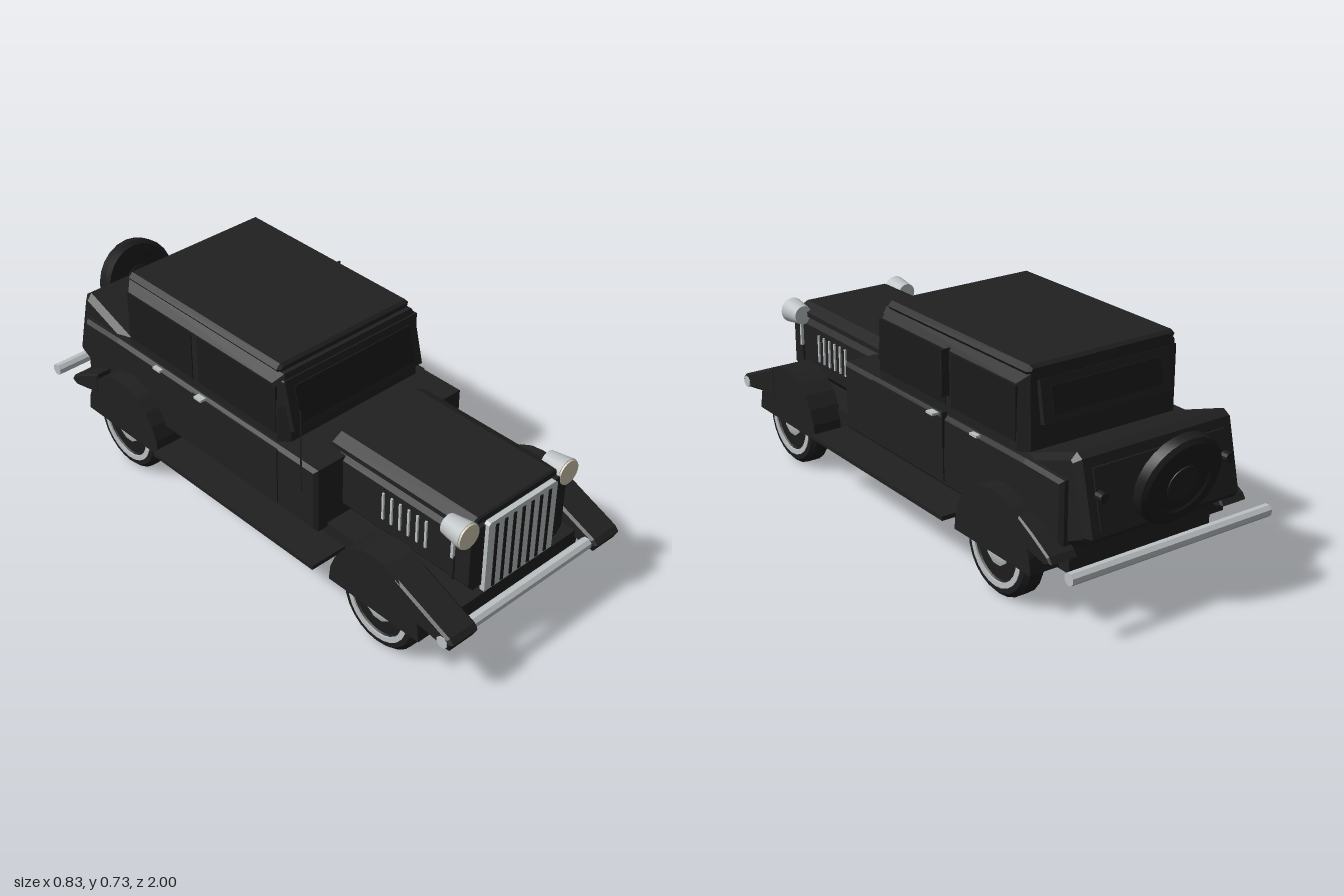
import * as THREE from 'three';
import { toCreasedNormals } from 'three/addons/utils/BufferGeometryUtils.js';

const paint = (name, color) => {
  const m = new THREE.MeshStandardMaterial({ color });
  m.name = name;
  return m;
};

export function createModel() {
  const car = new THREE.Group();
  car.name = 'vintageCar';
  const black = paint('blackPaint', 0x202020);
  const rubber = paint('rubber', 0x1c1c1c);
  const glass = paint('darkGlass', 0x1a1a1a);
  const chrome = paint('chrome', 0xbcc1c3);
  const lens = paint('creamLens', 0xd2c9b0);

  const add = (name, geo, mat, x = 0, y = 0, z = 0, parent = car) => {
    const m = new THREE.Mesh(geo, mat);
    m.name = name;
    m.position.set(x, y, z);
    parent.add(m);
    return m;
  };
  const box = (name, mat, x0, x1, y0, y1, z0, z1) =>
    add(name, new THREE.BoxGeometry(x1 - x0, y1 - y0, z1 - z0), mat,
      (x0 + x1) / 2, (y0 + y1) / 2, (z0 + z1) / 2);
  const shape = pts => new THREE.Shape(pts.map(p => new THREE.Vector2(...p)));
  const bevelled = (pts, depth, b) => new THREE.ExtrudeGeometry(shape(pts), {
    depth: depth - 2 * b, bevelEnabled: b > 0, bevelThickness: b, bevelSize: b, bevelOffset: -b, bevelSegments: 1,
  }).translate(0, 0, b);
  // side profile (z, y) extruded across x
  const prism = (name, mat, pts, x0, x1, b = 0) =>
    add(name, bevelled(pts, x1 - x0, b).rotateY(-Math.PI / 2).translate(x1, 0, 0), mat);
  // front profile (x, y) extruded along z
  const lengthwise = (name, mat, pts, z0, z1, b = 0) =>
    add(name, bevelled(pts, z1 - z0, b).translate(0, 0, z0), mat);
  const lathe = (pts, seg = 24) =>
    toCreasedNormals(new THREE.LatheGeometry(pts.map(p => new THREE.Vector2(...p)), seg), 0.5);
  const cyl = (r0, r1, h, seg) => toCreasedNormals(new THREE.CylinderGeometry(r0, r1, h, seg), 0.6);

  // Chassis and lower body
  box('chassis', black, -0.275, 0.275, 0.145, 0.24, -0.79, 0.915);
  prism('lowerBody', black,
    [[0.365, 0.225], [0.365, 0.465], [-0.63, 0.465], [-0.81, 0.46], [-0.81, 0.24], [-0.78, 0.225]], -0.325, 0.325, 0.012);
  prism('trunk', black,
    [[-0.55, 0.24], [-0.55, 0.45], [-0.6, 0.465], [-0.82, 0.545], [-0.845, 0.53], [-0.9, 0.3], [-0.885, 0.28], [-0.8, 0.24]],
    -0.3, 0.3, 0.02);
  prism('trunkPanel', black, [[-0.845, 0.5], [-0.857, 0.5], [-0.9, 0.32], [-0.888, 0.32]], -0.25, 0.25);

  // Cabin with chamfered edges, roof slab and slanted windscreens
  prism('cabin', black, [[0.2, 0.42], [0.2, 0.6], [0.17, 0.705], [-0.595, 0.705], [-0.605, 0.42]], -0.305, 0.305, 0.03);
  lengthwise('roof', black,
    [[-0.27, 0.69], [0.27, 0.69], [0.285, 0.713], [0.27, 0.73], [-0.27, 0.73], [-0.285, 0.713]], -0.595, 0.155, 0.01);
  prism('windscreenFrame', black, [[0.205, 0.51], [0.222, 0.515], [0.18, 0.685], [0.165, 0.685]], -0.285, 0.285, 0.004);
  prism('windscreen', glass, [[0.215, 0.535], [0.22, 0.535], [0.19, 0.66], [0.183, 0.66]], -0.25, 0.25);
  prism('rearWindowFrame', black, [[-0.59, 0.68], [-0.603, 0.685], [-0.628, 0.55], [-0.612, 0.545]], -0.25, 0.25, 0.004);
  prism('rearWindow', glass, [[-0.6, 0.66], [-0.61, 0.66], [-0.627, 0.575], [-0.615, 0.575]], -0.21, 0.21);

  // Hood and its cover
  lengthwise('hood', black,
    [[-0.19, 0.26], [0.19, 0.26], [0.21, 0.285], [0.21, 0.45], [0.18, 0.49], [-0.18, 0.49], [-0.21, 0.45], [-0.21, 0.285]],
    0.34, 0.9);
  lengthwise('hoodCover', black,
    [[-0.205, 0.475], [0.205, 0.475], [0.205, 0.492], [0.165, 0.513], [-0.165, 0.513], [-0.205, 0.492]], 0.305, 0.885, 0.006);

  // Radiator grille
  lengthwise('grille', chrome,
    [[-0.152, 0.24], [0.152, 0.24], [0.152, 0.492], [0.144, 0.5], [-0.144, 0.5], [-0.152, 0.492]], 0.895, 0.914);
  for (let i = -3; i <= 3; i++)
    box('grilleSlot', glass, i * 0.039 - 0.006, i * 0.039 + 0.006, 0.246, 0.484, 0.91, 0.917);

  // Bumpers
  for (const [name, z] of [['frontBumper', 0.963], ['rearBumper', -0.925]])
    add(name, cyl(0.021, 0.021, 0.77, 8).rotateY(Math.PI / 8).rotateZ(Math.PI / 2), chrome, 0, 0.22, z);

  // Tyre with closed sides, whitewall ring and hub, all turned about the axle
  const tyreGeo = lathe([[0, -0.032], [0.1, -0.032], [0.108, -0.039], [0.14, -0.039], [0.155, -0.024],
    [0.155, 0.024], [0.14, 0.039], [0.108, 0.039], [0.1, 0.032], [0, 0.032]]);
  const ringGeo = lathe([[0.105, -0.042], [0.123, -0.042], [0.123, 0.042], [0.105, 0.042], [0.105, -0.042]]);
  const hubGeo = lathe([[0, -0.046], [0.03, -0.046], [0.055, -0.036], [0.055, 0.036], [0.03, 0.046], [0, 0.046]], 10);

  // Half-disc fender skirt around an axle
  const arch = zc => Array.from({ length: 13 }, (_, i) => {
    const a = (i / 12) * Math.PI;
    return [zc + 0.192 * Math.cos(a), 0.15 + 0.208 * Math.sin(a)];
  });
  const frontTip = [[0.76, 0.335], [0.865, 0.292], [0.985, 0.242], [1, 0.225], [0.985, 0.195], [0.86, 0.215], [0.76, 0.2]];
  const rearTip = [[-0.68, 0.32], [-0.745, 0.29], [-0.825, 0.245], [-0.838, 0.225], [-0.81, 0.212], [-0.68, 0.24]];

  for (const s of [1, -1]) {
    const span = (a, b) => (s > 0 ? [a, b] : [-b, -a]);

    for (const [name, z] of [['frontWheel', 0.68], ['rearWheel', -0.55]]) {
      const wheel = new THREE.Group();
      wheel.name = name;
      wheel.position.set(s * 0.324, 0.155, z);
      wheel.rotation.z = Math.PI / 2;
      add('tyre', tyreGeo, rubber, 0, 0, 0, wheel);
      add('whitewallRing', ringGeo, chrome, 0, 0, 0, wheel);
      add('hub', hubGeo, chrome, 0, 0, 0, wheel);
      car.add(wheel);
    }

    prism('frontFender', black, arch(0.676), ...span(0.268, 0.38));
    prism('frontFenderTip', black, frontTip, ...span(0.265, 0.382), 0.008);
    prism('rearFender', black, arch(-0.55), ...span(0.27, 0.38));
    prism('rearFenderTip', black, rearTip, ...span(0.28, 0.382), 0.006);
    box('runningBoard', black, ...span(0.26, 0.413), 0.178, 0.193, -0.34, 0.445);

    // Headlamp: tapered shell, cream lens and post
    add('headlampShell', cyl(0.045, 0.034, 0.08, 20).rotateX(Math.PI / 2), chrome, s * 0.22, 0.483, 0.855);
    add('headlampLens', cyl(0.042, 0.043, 0.008, 20).rotateX(Math.PI / 2), lens, s * 0.22, 0.483, 0.897);
    box('headlampPost', chrome, ...span(0.212, 0.222), 0.365, 0.45, 0.833, 0.843);
    box('headlampBracket', black, ...span(0.205, 0.217), 0.28, 0.37, 0.833, 0.843);

    // Hood louvres
    for (let i = 0; i < 6; i++)
      box('louvre', chrome, ...span(0.208, 0.216), 0.33, 0.43, 0.541 + i * 0.036, 0.549 + i * 0.036);

    // Door panel, side windows and handles
    box('door', black, ...span(0.32, 0.329), 0.245, 0.455, -0.225, 0.19);
    box('doorWindow', glass, ...span(0.301, 0.308), 0.495, 0.67, -0.21, 0.165);
    box('rearSideWindow', glass, ...span(0.301, 0.308), 0.495, 0.67, -0.57, -0.24);
    for (const z of [-0.175, -0.397])
      box('doorHandle', chrome, ...span(0.322, z > -0.2 ? 0.346 : 0.338), 0.459, 0.467, z - 0.018, z + 0.018);

    // Tail lamps
    add('tailLamp', cyl(0.016, 0.016, 0.03, 10).rotateX(Math.PI / 2), rubber, s * 0.24, 0.42, -0.885);
  }

  // Door edge strip on the left, aerial on the right
  box('doorEdgeUpper', black, 0.3, 0.334, 0.53, 0.684, -0.228, -0.222);
  box('doorEdgeLower', black, 0.315, 0.334, 0.36, 0.48, -0.228, -0.222);
  add('aerial', cyl(0.0025, 0.0025, 0.3, 6), black, -0.326, 0.51, 0.3);

  // Tilted spare wheel
  const spare = new THREE.Group();
  spare.name = 'spareWheel';
  spare.position.set(0, 0.432, -0.936);
  spare.rotation.x = Math.PI / 2 - 0.25;
  spare.scale.set(0.97, 0.7, 0.97);
  add('spareTyre', tyreGeo, rubber, 0, 0, 0, spare);
  add('spareHub', cyl(0.06, 0.06, 0.074, 16), black, 0, 0, 0, spare);
  car.add(spare);
  box('spareMount', black, -0.03, 0.03, 0.37, 0.43, -0.93, -0.84);

  return car;
}
